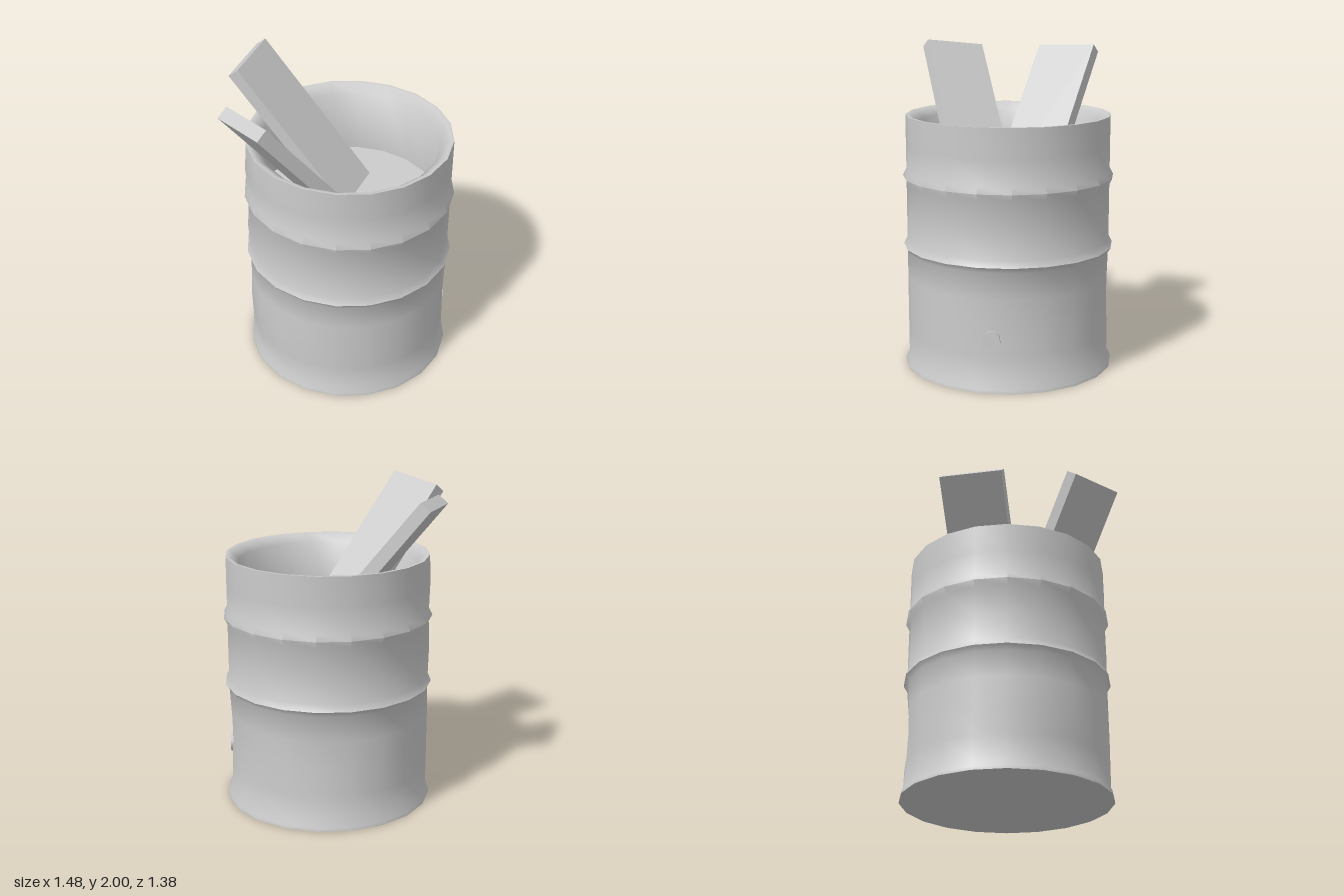
import * as THREE from 'three';
import { toCreasedNormals } from 'three/addons/utils/BufferGeometryUtils.js';

const SIDES = 20;
const CENTER = [0.08, 0, 0.03];
const FILL_Y = 1.12;
const material = new THREE.MeshStandardMaterial({ color: 0xcccccc });

function mesh(name, geometry) {
  const m = new THREE.Mesh(geometry, material);
  m.name = name;
  return m;
}

// Dents (positive) and bulges (negative): angle from +x towards +z, height, depth, spreads
const DENTS = [
  { angle: 5, y: 0.42, depth: 0.024, spread: 28, rise: 0.2 },
  { angle: -55, y: 0.45, depth: 0.03, spread: 16, rise: 0.17 },
  { angle: 180, y: 0.4, depth: -0.014, spread: 40, rise: 0.2 },
  { angle: 180, y: 0.97, depth: -0.014, spread: 40, rise: 0.13 },
  { angle: 180, y: 1.4, depth: -0.012, spread: 40, rise: 0.1 },
  { angle: -125, y: 0.36, depth: 0.012, spread: 20, rise: 0.12 },
];

function dentWall(geometry) {
  const pos = geometry.attributes.position;
  for (let i = 0; i < pos.count; i++) {
    const x = pos.getX(i), y = pos.getY(i), z = pos.getZ(i);
    const r = Math.hypot(x, z);
    if (r < 0.625) continue; // only the outer skin moves
    const angle = THREE.MathUtils.radToDeg(Math.atan2(z, x));
    let push = 0;
    for (const d of DENTS) {
      const da = (THREE.MathUtils.euclideanModulo(angle - d.angle + 180, 360) - 180) / d.spread;
      const dy = (y - d.y) / d.rise;
      push += d.depth * Math.exp(-da * da - dy * dy);
    }
    pos.setXYZ(i, x * (r - push) / r, y, z * (r - push) / r);
  }
  return geometry;
}

// A board given by one top corner, its width and thickness vectors, running down into the drum
function plank(name, corner, width, thickness, length) {
  const w = new THREE.Vector3(...width), t = new THREE.Vector3(...thickness);
  const wLen = w.length(), tLen = t.length();
  const center = new THREE.Vector3(...corner).addScaledVector(w, 0.5).addScaledVector(t, 0.5);
  const up = w.clone().cross(t).normalize();
  w.normalize();
  t.crossVectors(up, w);
  center.addScaledVector(up, -length / 2);
  const m = mesh(name, new THREE.BoxGeometry(wLen, tLen, length));
  m.quaternion.setFromRotationMatrix(new THREE.Matrix4().makeBasis(w, t, up));
  m.position.copy(center);
  return m;
}

export function createModel() {
  const model = new THREE.Group();
  model.name = 'barrelWithPlanks';

  const drum = new THREE.Group();
  drum.name = 'drum';
  drum.position.set(...CENTER);
  model.add(drum);

  // Wall: foot flare, two ribs, bevelled lip and inner side
  const profile = [
    [0.657, 0], [0.655, 0.02], [0.635, 0.06], [0.635, 0.22], [0.635, 0.4], [0.635, 0.57],
    [0.635, 0.735], [0.657, 0.768], [0.635, 0.81],
    [0.635, 0.97], [0.635, 1.16], [0.657, 1.202], [0.635, 1.245],
    [0.635, 1.4], [0.635, 1.585],
    [0.615, 1.585], [0.556, 1.535], [0.556, FILL_Y],
  ].map(([r, y]) => new THREE.Vector2(r, y));
  const wall = dentWall(new THREE.LatheGeometry(profile, SIDES));
  drum.add(mesh('drumWall', toCreasedNormals(wall, 0.95)));

  const base = mesh('drumBase', new THREE.CircleGeometry(0.657, SIDES));
  base.rotation.x = Math.PI / 2;
  const fill = mesh('drumFill', new THREE.CircleGeometry(0.556, SIDES));
  fill.rotation.x = -Math.PI / 2;
  fill.position.y = FILL_Y;
  drum.add(base, fill);

  // Round plug low on the wall
  const plugAngle = THREE.MathUtils.degToRad(29);
  const plugDir = new THREE.Vector3(Math.cos(plugAngle), 0, Math.sin(plugAngle));
  const plug = mesh('plug', toCreasedNormals(new THREE.CylinderGeometry(0.054, 0.054, 0.06, 8), 0.9));
  plug.quaternion.setFromUnitVectors(new THREE.Vector3(0, 1, 0), plugDir);
  plug.position.copy(plugDir).multiplyScalar(0.6).setY(0.325);
  drum.add(plug);

  // Boards leaning on the rim
  model.add(
    plank('sidePlank', [-0.74, 1.905, -0.04], [0.06, 0.045, 0.395], [0.065, 0.05, -0.015], 1.35),
    plank('backPlank', [-0.185, 1.925, -0.688], [-0.31, -0.015, 0.255], [0.042, 0.05, 0.045], 1.35),
  );
  return model;
}
